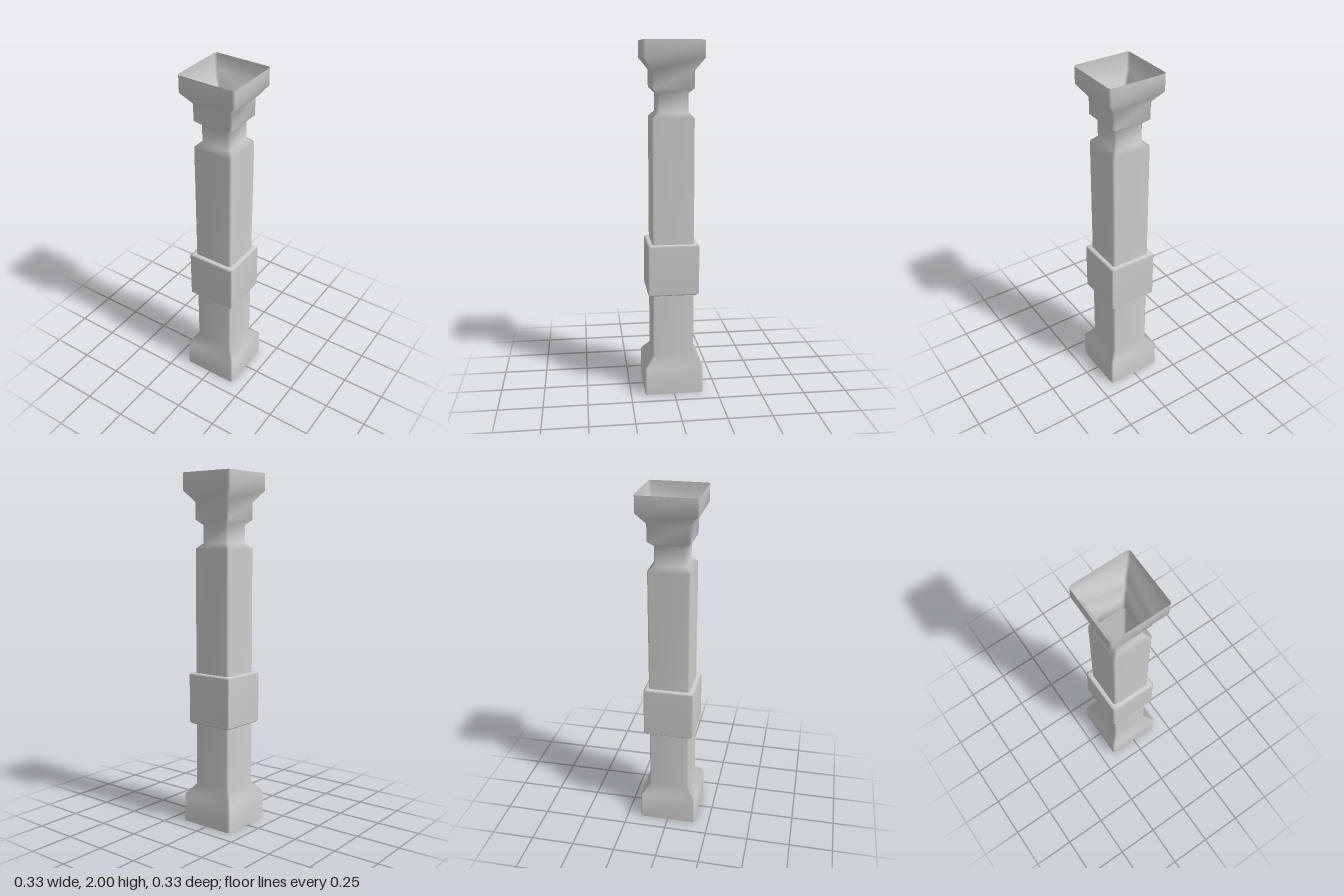
import * as THREE from 'three';

const material = new THREE.MeshStandardMaterial({ color: 0xcccccc, side: THREE.DoubleSide });

// Corners of a square with chamfered corners
function section(half, chamfer) {
  const h = half, c = half - chamfer;
  return [[h, -c], [h, c], [c, h], [-c, h], [-h, c], [-h, -c], [-c, -h], [c, -h]];
}

// Open, smooth-shaded square tube through a profile of [halfWidth, y]
function squareTube(name, profile, chamfer) {
  const positions = [], index = [], n = 8;
  profile.forEach(([half, y], i) => {
    section(half, chamfer).forEach(([x, z], j) => {
      positions.push(x, y, z);
      if (i === profile.length - 1) return;
      const a = i * n + j, b = i * n + (j + 1) % n;
      index.push(a, a + n, b, b, a + n, b + n);
    });
  });
  const geometry = new THREE.BufferGeometry();
  geometry.setAttribute('position', new THREE.Float32BufferAttribute(positions, 3));
  geometry.setIndex(index);
  geometry.computeVertexNormals();
  const mesh = new THREE.Mesh(geometry, material);
  mesh.name = name;
  return mesh;
}

export function createModel() {
  const group = new THREE.Group();
  group.name = 'column';

  // Hollow shaft with flared base, neck and flared capital
  group.add(squareTube('shaft', [
    [0.167, 0], [0.167, 0.16], [0.118, 0.22], [0.118, 1.585], [0.087, 1.615],
    [0.087, 1.715], [0.118, 1.745], [0.118, 1.84], [0.167, 1.905], [0.167, 2],
  ], 0.011));

  // Bevelled band around the shaft
  group.add(squareTube('band', [
    [0.117, 0.586], [0.136, 0.586], [0.145, 0.595],
    [0.145, 0.871], [0.136, 0.88], [0.117, 0.88],
  ], 0.009));

  return group;
}
